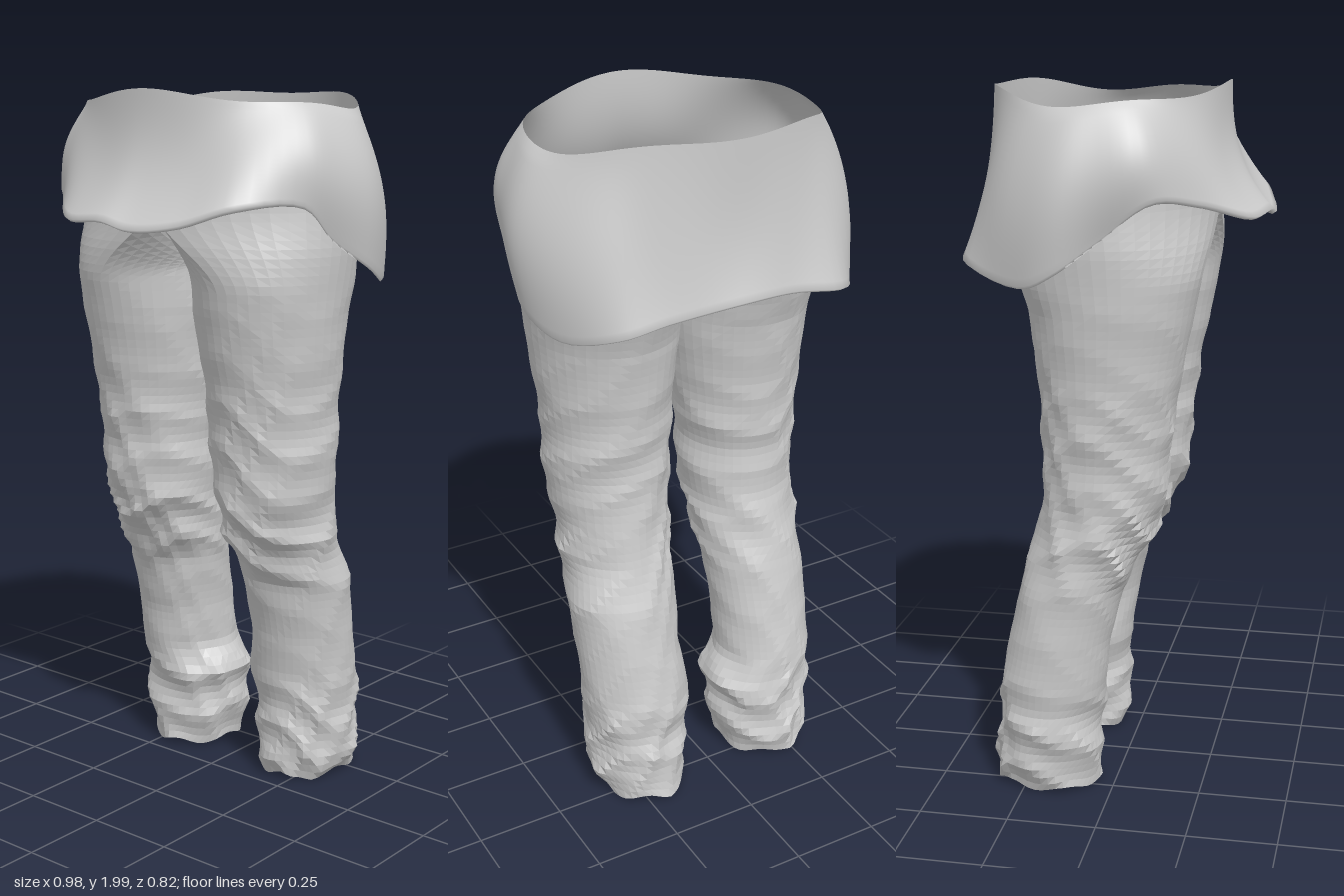
import * as THREE from 'three';

const TAU = Math.PI * 2;
const lerp = THREE.MathUtils.lerp;
const smooth = THREE.MathUtils.smoothstep;

// Closed rings, listed from top to bottom, skinned into an open tube.
function loft(rings, flip = false) {
  const n = rings[0].length, index = [];
  for (let j = 0; j < rings.length - 1; j++) {
    for (let i = 0; i < n; i++) {
      const a = j * n + i, b = j * n + (i + 1) % n, c = a + n, d = b + n;
      if (flip) index.push(a, c, b, b, c, d);
      else index.push(a, b, c, b, d, c);
    }
  }
  const geo = new THREE.BufferGeometry().setFromPoints(rings.flat());
  geo.setIndex(index);
  geo.computeVertexNormals();
  return geo;
}

// Leg sections: y, right inner/outer x, left inner/outer x, front z, back z
const SECTIONS = [
  [1.70, 0.00, 0.43, 0.00, 0.43, 0.26, -0.34],
  [1.57, 0.00, 0.43, 0.00, 0.43, 0.25, -0.29],
  [1.40, 0.00, 0.415, 0.00, 0.415, 0.22, -0.235],
  [1.20, 0.02, 0.395, 0.02, 0.395, 0.18, -0.21],
  [1.00, 0.04, 0.38, 0.03, 0.39, 0.155, -0.20],
  [0.85, 0.04, 0.37, 0.04, 0.375, 0.145, -0.205],
  [0.74, 0.05, 0.375, 0.05, 0.37, 0.10, -0.23],
  [0.62, 0.07, 0.37, 0.06, 0.38, 0.03, -0.265],
  [0.45, 0.085, 0.37, 0.07, 0.37, -0.01, -0.30],
  [0.33, 0.085, 0.37, 0.05, 0.365, -0.025, -0.325],
  [0.25, 0.03, 0.365, 0.055, 0.37, -0.03, -0.335],
  [0.19, 0.05, 0.365, 0.07, 0.365, -0.035, -0.335],
  [0.08, 0.06, 0.355, 0.07, 0.365, -0.035, -0.35],
  [0.01, 0.08, 0.33, 0.08, 0.33, -0.045, -0.345],
];

function sectionAt(y) {
  let k = 0;
  while (k < SECTIONS.length - 2 && SECTIONS[k + 1][0] > y) k++;
  const a = SECTIONS[k], b = SECTIONS[k + 1];
  const t = THREE.MathUtils.clamp((a[0] - y) / (a[0] - b[0]), 0, 1);
  return a.map((v, i) => lerp(v, b[i], t));
}

// Slanted cloth folds, strongest at the front of the knee and the cuff
function fold(y, a, side) {
  const crease = (p) => 1 - 2 * Math.abs(Math.sin(p));
  const front = 0.5 + 0.5 * Math.sin(a);
  const knee = Math.exp(-(((y - 0.76) / 0.12) ** 2));
  const cuff = 1 - smooth(y, 0.2, 0.38);
  const thigh = smooth(y, 0.85, 1.0) * (1 - smooth(y, 1.05, 1.3));
  const wobble = 0.9 * Math.sin(2 * a + side) + 0.6 * Math.sin(3 * a + 5 * y);
  return crease(23 * y + wobble + side * Math.cos(a)) * (0.001 + 0.012 * knee * front + 0.006 * cuff + 0.003 * thigh)
    + crease(13 * y - 1.4 * wobble + a * 2) * (0.0015 + 0.004 * cuff + 0.004 * knee + 0.002 * thigh);
}

// One trouser leg; its top opens into half of the hips with a saddle between
function legGeometry(side) {
  const N = 44, ROWS = 72, rings = [];
  for (let j = 0; j <= ROWS; j++) {
    const y = lerp(1.70, 0.015, j / ROWS);
    const [, ri, ro, li, lo, zf, zb] = sectionAt(y);
    const xin = side < 0 ? ri : li, xout = side < 0 ? ro : lo;
    const cx = (xin + xout) / 2, rx = (xout - xin) / 2, cz = (zf + zb) / 2, rz = (zf - zb) / 2;
    const w = smooth(y, 1.46, 1.70), plain = 1 - smooth(y, 1.3, 1.6);
    const ring = [];
    for (let i = 0; i < N; i++) {
      const t = i / N, a = -Math.PI / 2 + TAU * t;
      const f = fold(y, a, side) * plain;
      const ex = cx + (rx + f) * Math.cos(a), ez = cz + (rz + f) * Math.sin(a);
      const s = 2 * t - 1, inner = s > 0;
      const dx = inner ? 0 : xout * Math.cos(a);
      const dz = inner ? cz + rz * (1 - 2 * s) : cz + rz * Math.sin(a);
      const dip = inner ? 0.14 * w * Math.sin(Math.PI * s) : 0;
      const ragged = 0.01 * Math.sin(5 * a + side) * (1 - smooth(y, 0.0, 0.1));
      ring.push(new THREE.Vector3(side * Math.max(0, lerp(ex, dx, w)), Math.max(0, y - dip + ragged), lerp(ez, dz, w)));
    }
    rings.push(ring);
  }
  // cuff turned inward
  const mid = new THREE.Vector3(side * 0.21, 0.06, -0.19);
  rings.push(rings[ROWS].map((p) => p.clone().lerp(mid, 0.14).setY(p.y + 0.03)));
  return loft(rings, side < 0);
}

// Hem outline of the shirt tail, from the left side round by the front
const HEM = [
  [0.475, 1.53, -0.09], [0.445, 1.61, 0.04], [0.43, 1.70, 0.15], [0.34, 1.695, 0.33], [0.2, 1.65, 0.385],
  [0.05, 1.635, 0.405], [-0.05, 1.655, 0.405], [-0.2, 1.65, 0.37], [-0.33, 1.695, 0.25], [-0.435, 1.71, 0.14],
  [-0.445, 1.61, 0.0], [-0.475, 1.53, -0.11], [-0.45, 1.49, -0.2], [-0.32, 1.53, -0.385], [-0.15, 1.56, -0.4],
  [0, 1.565, -0.41], [0.2, 1.54, -0.38], [0.33, 1.51, -0.35], [0.43, 1.48, -0.22],
];

function shirtGeometry() {
  const N = 96, ROWS = 22, Z0 = -0.04;
  const curve = new THREE.CatmullRomCurve3(HEM.map((p) => new THREE.Vector3(...p)), true);
  const columns = Array.from({ length: N }, (_, i) => {
    const hem = curve.getPoint(i / N);
    const a = Math.atan2(hem.z - Z0, hem.x), c = Math.cos(a), s = Math.sin(a);
    const rim = new THREE.Vector3(0.405 * c, 1.945 + 0.04 * s * s + 0.008 * Math.sin(5 * a), Z0 + 0.32 * s);
    return { hem, a, c, s, rim };
  });
  const rings = [];
  // outer cloth: wide early at the sides, flaring late at front and back
  for (let j = 0; j <= ROWS; j++) {
    const v = j / ROWS;
    rings.push(columns.map(({ hem, rim, a, c, s }) => {
      const flare = Math.pow(v, lerp(0.55, 2.8, s * s));
      const swell = Math.sin(Math.PI * v);
      const bulge = swell * (0.04 * c * c + 0.005 * v * Math.sin(9 * a));
      return new THREE.Vector3(
        lerp(rim.x, hem.x, flare) + bulge * c,
        lerp(rim.y, hem.y, v),
        lerp(rim.z, hem.z, flare) + bulge * s);
    }));
  }
  // underside folding back up to the hips
  for (const t of [0.08, 0.5, 1]) {
    rings.push(columns.map(({ hem, c, s }) => {
      const hip = new THREE.Vector3(0.43 * c, 1.70, Z0 + 0.30 * s);
      return hem.clone().lerp(hip, t).setY(lerp(hem.y, hip.y, t * t) - (t < 0.1 ? 0.008 : 0));
    }));
  }
  return loft(rings);
}

export function createModel() {
  const cloth = new THREE.MeshStandardMaterial({ color: 0xcccccc, side: THREE.DoubleSide });
  const creased = new THREE.MeshStandardMaterial({ color: 0xcccccc, side: THREE.DoubleSide, flatShading: true });
  const group = new THREE.Group();
  group.name = 'trousers';
  const add = (name, geo, mat) => {
    const mesh = new THREE.Mesh(geo, mat);
    mesh.name = name;
    group.add(mesh);
  };
  add('rightLeg', legGeometry(-1), creased);
  add('leftLeg', legGeometry(1), creased);
  add('shirtTail', shirtGeometry(), cloth);
  return group;
}
